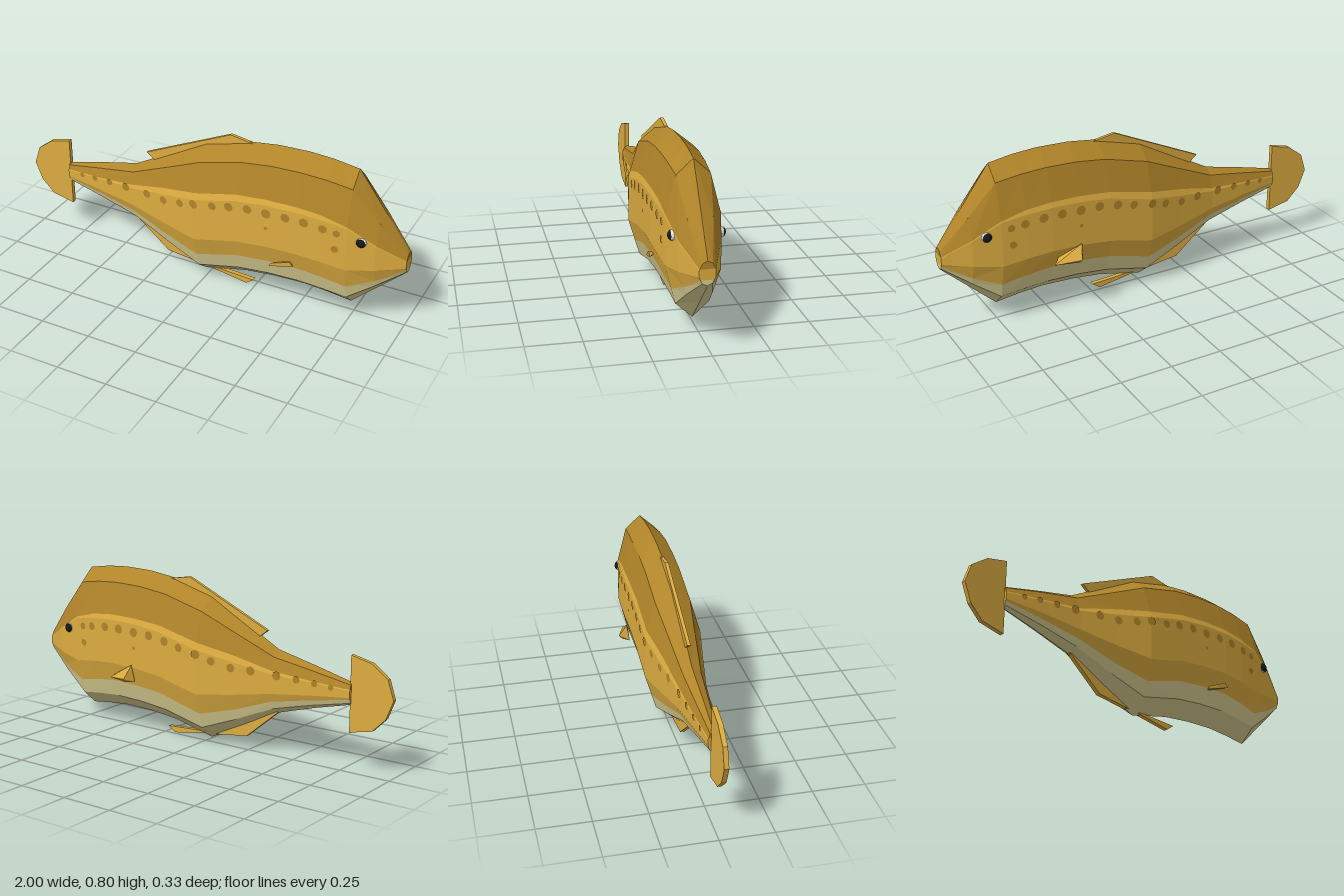
import * as THREE from 'three';
import { ConvexGeometry } from 'three/addons/geometries/ConvexGeometry.js';

const ZC = 0.025; // centre plane of the fish

const mat = (name, color) => {
  const m = new THREE.MeshStandardMaterial({ color, flatShading: true });
  m.name = name;
  return m;
};

// Body stations: x, top y, bottom y, half width, back/flank split, flank/belly split
const STATIONS = [
  [-0.79, 0.41, 0.307, 0.025, 0.8, 0.35],
  [-0.6, 0.458, 0.26, 0.048, 0.88, 0.5],
  [-0.4, 0.505, 0.203, 0.068, 0.8, 0.52],
  [-0.2, 0.615, 0.1, 0.102, 0.76, 0.6],
  [-0.02, 0.715, 0.016, 0.135, 0.81, 0.58],
  [0.2, 0.775, 0.067, 0.136, 0.83, 0.53],
  [0.35, 0.795, 0.083, 0.136, 0.85, 0.53],
  [0.5, 0.8, 0.089, 0.136, 0.86, 0.53],
  [0.62, 0.793, 0.081, 0.13, 0.88, 0.56],
  [0.74, 0.775, 0.067, 0.12, 0.96, 0.6],
  [0.87, 0.598, 0.19, 0.09, 0.96, 0.68],
  [1.0, 0.42, 0.313, 0.035, 0.9, 0.45],
];

// Half of a ten-sided section, with extra points where the colours change
function halfRing([x, top, bottom, w, up, low], side) {
  const cy = (top + bottom) / 2, h = (top - bottom) / 2, r = w / Math.sin(Math.PI * 0.4);
  const at = (n) => new THREE.Vector3(
    x, cy + h * Math.cos(n * Math.PI / 5), ZC + side * r * Math.sin(n * Math.PI / 5));
  return [at(0), at(1), at(1).lerp(at(2), up), at(2), at(3), at(3).lerp(at(4), low), at(4), at(5)];
}

// One colour band of the body: both sides plus the closed mouth and tail ends
function bandGeometry(k0, k1) {
  const pos = [];
  const quad = (a, b, c, d, flip) => {
    const order = flip ? [a, c, b, a, d, c] : [a, b, c, a, c, d];
    order.forEach((p) => pos.push(p.x, p.y, p.z));
  };
  const L = STATIONS.map((s) => halfRing(s, 1));
  const R = STATIONS.map((s) => halfRing(s, -1));
  const last = STATIONS.length - 1;
  for (let k = k0; k < k1; k++) {
    for (let i = 0; i < last; i++) {
      quad(L[i][k], L[i][k + 1], L[i + 1][k + 1], L[i + 1][k], false);
      quad(R[i][k], R[i][k + 1], R[i + 1][k + 1], R[i + 1][k], true);
    }
    for (const i of [0, last]) quad(L[i][k], L[i][k + 1], R[i][k + 1], R[i][k], i === 0);
  }
  const g = new THREE.BufferGeometry();
  g.setAttribute('position', new THREE.Float32BufferAttribute(pos, 3));
  g.computeVertexNormals();
  return g;
}

// Flank half width and its slope along x
function flank(x) {
  let i = 0;
  while (i < STATIONS.length - 2 && STATIONS[i + 1][0] < x) i++;
  const a = STATIONS[i], b = STATIONS[i + 1];
  const slope = (b[3] - a[3]) / (b[0] - a[0]);
  return { w: a[3] + slope * (x - a[0]), slope };
}

// Flat fin on the centre plane
function finGeometry(points, depth = 0.022) {
  const shape = new THREE.Shape(points.map(([x, y]) => new THREE.Vector2(x, y)));
  const g = new THREE.ExtrudeGeometry(shape, { depth, bevelEnabled: false });
  return g.translate(0, 0, ZC - depth / 2);
}

export function createModel() {
  const fish = new THREE.Group();
  fish.name = 'fish';
  const backMat = mat('back brown', 0xb08429);
  const flankMat = mat('golden flank', 0xdcac40);
  const bellyMat = mat('pale belly', 0xdace92);
  const blackMat = mat('eye black', 0x15171a);
  const whiteMat = mat('eye white', 0xe8e8e8);

  const add = (name, geometry, material) => {
    const m = new THREE.Mesh(geometry, material);
    m.name = name;
    fish.add(m);
    return m;
  };

  // Body
  add('back', bandGeometry(0, 2), backMat);
  add('flanks', bandGeometry(2, 5), flankMat);
  add('belly', bandGeometry(5, 7), bellyMat);

  // Fins on the centre plane
  add('tailFin', finGeometry([[-0.785, 0.535], [-0.89, 0.51], [-0.97, 0.45], [-1, 0.36],
    [-0.965, 0.27], [-0.9, 0.205], [-0.785, 0.18]]), flankMat);
  add('dorsalFin', finGeometry([[-0.34, 0.585], [0.11, 0.79], [0.22, 0.772], [0.2, 0.7], [-0.28, 0.54]],
    0.016), flankMat);
  add('analFin', finGeometry([[-0.41, 0.21], [-0.23, 0.06], [-0.05, 0.037], [-0.1, 0.12], [-0.3, 0.2]]), flankMat);
  add('pelvicFin', finGeometry([[0, 0.033], [0.2, 0], [0.24, 0.028], [0.05, 0.038]]), flankMat);

  // Pectoral fins: the left one lies folded, the right one is spread
  const hull = (pts) => new ConvexGeometry(pts.map((p) => new THREE.Vector3(...p)));
  add('foldedPectoralFin', hull([[0.37, 0.222, 0.15], [0.48, 0.282, 0.162], [0.5, 0.262, 0.162],
    [0.39, 0.228, 0.12], [0.47, 0.27, 0.13], [0.38, 0.24, 0.15]]), flankMat);
  add('spreadPectoralFin', hull([[0.5, 0.265, -0.12], [0.38, 0.28, -0.162], [0.36, 0.347, -0.125],
    [0.35, 0.263, -0.112], [0.38, 0.262, -0.145], [0.47, 0.29, -0.1]]), flankMat);

  // Spots along the flank: x, y, radius; the ones by the tail scallop the edge of the back
  const spots = [[-0.7, 0.378, 0.014], [-0.62, 0.386, 0.016], [-0.53, 0.392, 0.018], [-0.43, 0.397, 0.022],
    [-0.3, 0.405, 0.022], [-0.2, 0.407, 0.021], [-0.1, 0.428, 0.021], [-0.02, 0.452, 0.023],
    [0.08, 0.47, 0.021], [0.165, 0.49, 0.023], [0.26, 0.505, 0.023], [0.355, 0.508, 0.024],
    [0.45, 0.513, 0.023], [0.54, 0.513, 0.023], [0.63, 0.503, 0.021], [0.695, 0.495, 0.018],
    [0.69, 0.412, 0.018], [0.355, 0.43, 0.009]];

  for (const side of [1, -1]) {
    for (const [x, y, r] of spots) {
      const { w, slope } = flank(x);
      const spot = add('spot', new THREE.CircleGeometry(r, 8), backMat);
      spot.position.set(x, y, ZC + side * (w + 0.002));
      spot.rotation.y = (side > 0 ? 0 : Math.PI) - side * Math.atan(slope);
    }
    // Eye: white ball with a black cap facing outwards
    const z = ZC + side * (flank(0.807).w - 0.007);
    const ball = add('eyeWhite', new THREE.SphereGeometry(0.025, 12, 8), whiteMat);
    const pupil = add('pupil', new THREE.SphereGeometry(0.0268, 12, 4, 0, Math.PI * 2, 0, 1), blackMat);
    for (const part of [ball, pupil]) {
      part.position.set(0.806, 0.47, z);
      part.rotation.x = side * Math.PI / 2;
    }
  }
  return fish;
}
